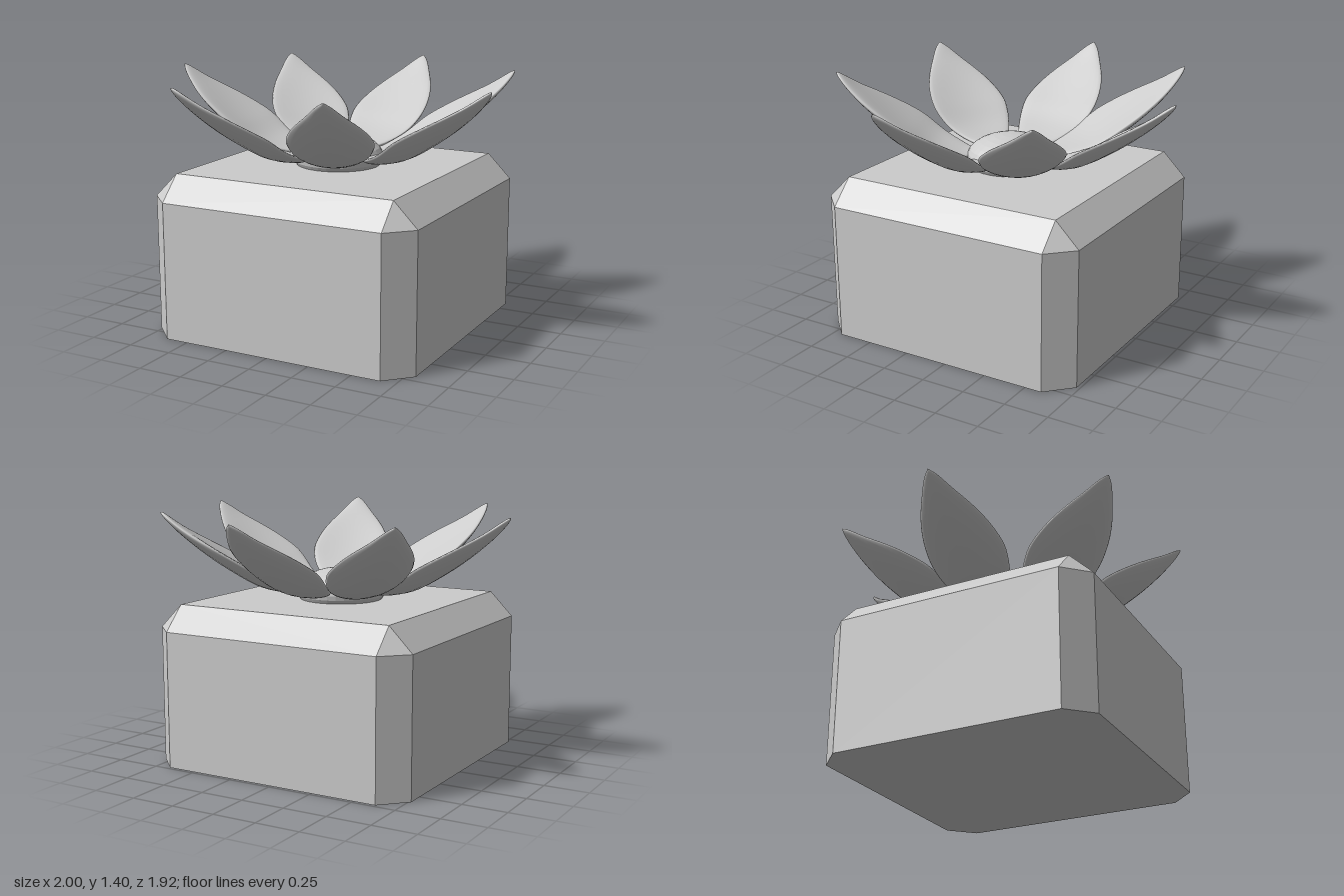
import * as THREE from 'three';
import { ConvexGeometry } from 'three/addons/geometries/ConvexGeometry.js';

const CENTRE_X = 0.018, CENTRE_Z = 0.05;

// Box with bevelled top rim and upright edges, flat underneath
function bevelledBlock(half, height, bevel) {
  const points = [], inner = half - bevel;
  for (const sx of [-1, 1]) for (const sz of [-1, 1]) {
    points.push(new THREE.Vector3(sx * inner, height, sz * inner));
    for (const y of [0, height - bevel]) {
      points.push(new THREE.Vector3(sx * half, y, sz * inner));
      points.push(new THREE.Vector3(sx * inner, y, sz * half));
    }
  }
  return new ConvexGeometry(points);
}

// Petal pointing along +x: cupped oval sections swept up a curved midrib
function petalGeometry() {
  const v2 = (x, y) => new THREE.Vector2(x, y);
  const midrib = new THREE.SplineCurve([
    v2(0.2, 0.955), v2(0.3, 0.96), v2(0.45, 1.0), v2(0.6, 1.085),
    v2(0.75, 1.185), v2(0.9, 1.3), v2(1.012, 1.4),
  ]);
  const outline = new THREE.SplineCurve([
    v2(0.2, 0), v2(0.215, 0.055), v2(0.28, 0.115), v2(0.4, 0.178), v2(0.52, 0.218), v2(0.61, 0.227),
    v2(0.72, 0.203), v2(0.82, 0.157), v2(0.92, 0.088), v2(0.98, 0.04), v2(1.012, 0),
  ]);
  const ribPoints = midrib.getPoints(200);
  const ribAt = (r) => {
    let i = 1;
    while (i < 200 && ribPoints[i].x < r) i++;
    const a = ribPoints[i - 1], b = ribPoints[i];
    const f = (r - a.x) / (b.x - a.x);
    return { y: a.y + (b.y - a.y) * f, slope: Math.atan2(b.y - a.y, b.x - a.x) };
  };

  const rows = 36, sides = 24, positions = [], index = [];
  for (let i = 0; i <= rows; i++) {
    const edge = outline.getPoint(i / rows);
    const w = i === 0 || i === rows ? 0 : Math.max(edge.y, 0);
    const rib = ribAt(edge.x);
    const thick = 0.031 * Math.sqrt(w / 0.227);
    const cup = 0.045 * (w / 0.227) ** 2;
    for (let j = 0; j < sides; j++) {
      const a = (j / sides) * Math.PI * 2;
      const lift = cup * Math.cos(a) ** 2 + thick * Math.sin(a);
      positions.push(edge.x - lift * Math.sin(rib.slope), rib.y + lift * Math.cos(rib.slope), w * Math.cos(a));
      if (i < rows) {
        const p = i * sides + j, q = i * sides + ((j + 1) % sides);
        index.push(p, p + sides, q, q, p + sides, q + sides);
      }
    }
  }
  const geometry = new THREE.BufferGeometry();
  geometry.setAttribute('position', new THREE.Float32BufferAttribute(positions, 3));
  geometry.setIndex(index);
  geometry.computeVertexNormals();
  return geometry;
}

export function createModel() {
  const model = new THREE.Group();
  model.name = 'pottedFlower';
  const flat = new THREE.MeshStandardMaterial({ color: 0xcccccc, flatShading: true });
  const smooth = new THREE.MeshStandardMaterial({ color: 0xcccccc, side: THREE.DoubleSide });

  // Block the flower sits on
  const block = new THREE.Mesh(bevelledBlock(0.782, 0.9, 0.135), flat);
  block.name = 'block';
  block.position.set(CENTRE_X, 0, CENTRE_Z);
  model.add(block);

  // Squashed ball at the heart of the flower
  const heart = new THREE.Mesh(new THREE.SphereGeometry(0.25, 32, 16), flat);
  heart.name = 'flowerCentre';
  heart.scale.y = 0.52;
  heart.position.set(CENTRE_X, 0.945, CENTRE_Z);
  model.add(heart);

  // Seven petals, slightly unevenly spaced, aimed at their tips (x, z)
  const tips = [[0.08, -0.965], [0.824, -0.556], [0.998, 0.262], [0.412, 0.957],
    [-0.513, 0.888], [-0.998, 0.064], [-0.7, -0.674]];
  const petal = petalGeometry();
  const petals = new THREE.Group();
  petals.name = 'petals';
  tips.forEach(([x, z], i) => {
    const dx = x - CENTRE_X, dz = z - CENTRE_Z;
    const mesh = new THREE.Mesh(petal, smooth);
    mesh.name = `petal${i + 1}`;
    mesh.position.set(CENTRE_X, 0, CENTRE_Z);
    mesh.rotation.y = -Math.atan2(dz, dx);
    mesh.scale.x = Math.hypot(dx, dz) / 1.012;
    petals.add(mesh);
  });
  model.add(petals);
  return model;
}
